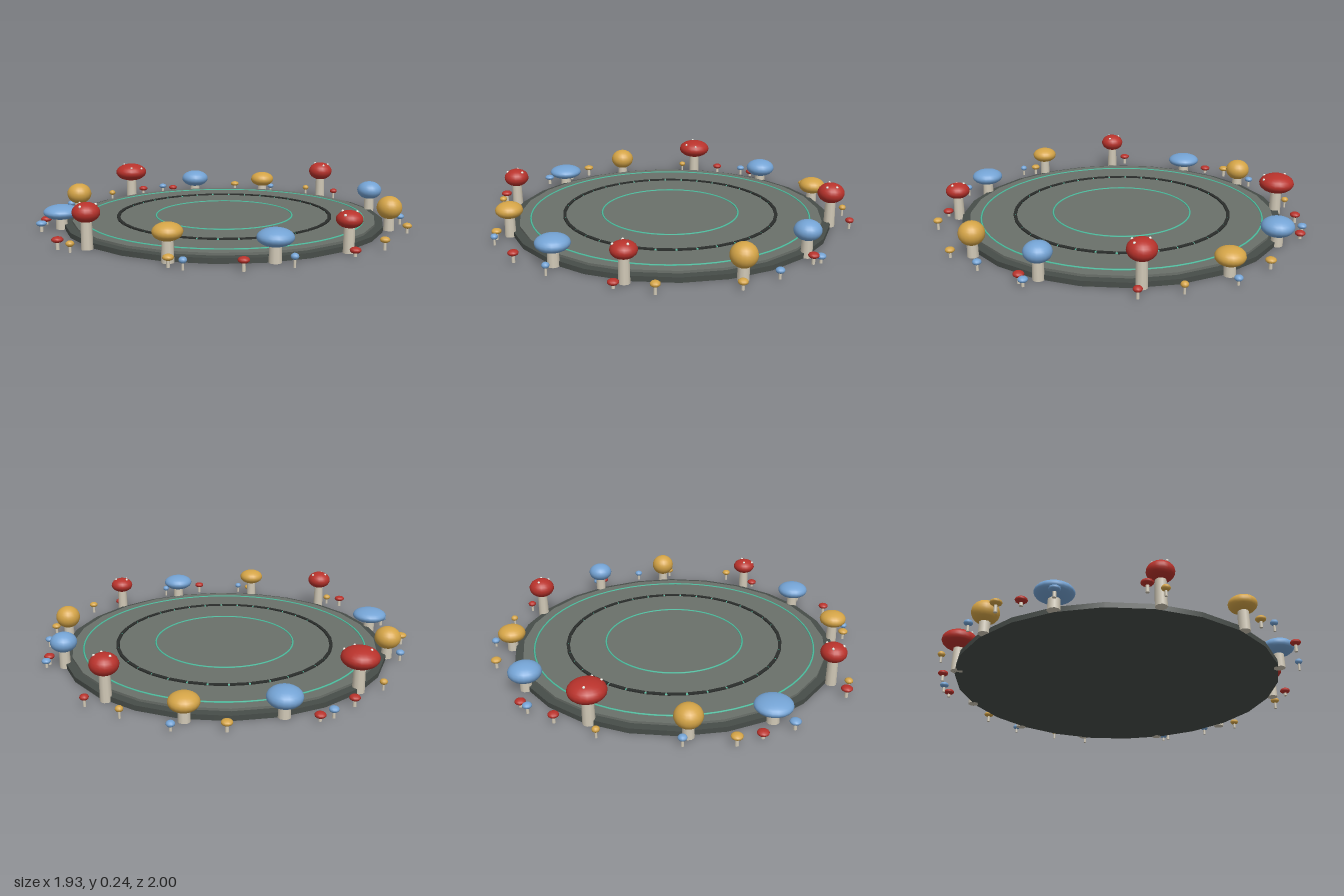
import * as THREE from 'three';

const mat = (name, color, flatShading = false) => {
  const m = new THREE.MeshStandardMaterial({ color, flatShading });
  m.name = name;
  return m;
};

export function createModel() {
  const model = new THREE.Group();
  model.name = 'mushroomRing';
  const M = {
    red: mat('capRed', 0xb8322b),
    blue: mat('capBlue', 0x74a3d4),
    gold: mat('capGold', 0xd4a447),
    stem: mat('stemCream', 0xd0c8b6),
    spot: mat('spotWhite', 0xf2efe6),
    stone: mat('stoneGrey', 0x6a706a),
    rim: mat('rimGrey', 0x474d49),
    dark: mat('darkStone', 0x2b2e2c),
    teal: mat('tealGlow', 0x4fbd9f),
  };
  const add = (parent, name, geo, material, x = 0, y = 0, z = 0) => {
    const mesh = new THREE.Mesh(geo, material);
    mesh.name = name;
    mesh.position.set(x, y, z);
    parent.add(mesh);
    return mesh;
  };

  // Round stone platform: dark-grey base with a lighter slab on top
  const platform = new THREE.Group();
  platform.name = 'platform';
  platform.position.set(-0.022, 0, -0.02);
  model.add(platform);
  add(platform, 'base', new THREE.CylinderGeometry(0.858, 0.858, 0.026, 24), M.rim, 0, 0.013, 0);
  add(platform, 'topSlab', new THREE.CylinderGeometry(0.815, 0.815, 0.018, 24), M.stone, 0, 0.029, 0);

  // Thin inlaid rings
  for (const r of [0.37, 0.572, 0.752]) {
    const ring = add(platform, 'tealRing', new THREE.TorusGeometry(r, 0.005, 6, 64), M.teal, 0, 0.038, 0);
    ring.rotation.x = Math.PI / 2;
  }

  // Dark segments laid around the middle ring
  const segments = 36;
  const segmentGeo = new THREE.BoxGeometry(0.09, 0.01, 0.017);
  for (let i = 0; i < segments; i++) {
    const a = (i / segments) * Math.PI * 2;
    const s = add(platform, 'ringSegment', segmentGeo, M.dark,
      0.572 * Math.sin(a), 0.04, 0.572 * Math.cos(a));
    s.rotation.y = a;
  }

  // Mushroom: stem plus flattened round cap; red ones carry white spots
  const capGeo = new THREE.SphereGeometry(1, 20, 14);
  const smallCapGeo = new THREE.SphereGeometry(1, 12, 8);
  const spotGeo = new THREE.SphereGeometry(0.007, 8, 6);
  const mushroom = (name, color, x, z, r, capY, half, stemR, spots) => {
    const g = new THREE.Group();
    g.name = name;
    g.position.set(x, 0, z);
    model.add(g);
    add(g, 'stem', new THREE.CylinderGeometry(stemR * 0.9, stemR, capY, 10), M.stem, 0, capY / 2, 0);
    const cap = add(g, 'cap', r > 0.05 ? capGeo : smallCapGeo, M[color], 0, capY, 0);
    cap.scale.set(r, half, r);
    for (const [sx, sz] of spots) {
      const sy = Math.sqrt(1 - sx * sx - sz * sz);
      add(g, 'spot', spotGeo, M.spot, sx * r, capY + sy * half, sz * r);
    }
  };

  // Large mushrooms: colour, x, z, cap radius, cap height, cap half-thickness, spots
  const large = [
    ['red', -0.868, 0, 0.093, 0.176, 0.052, [[0.82, -0.25], [0.65, 0.42], [-0.5, 0.2]]],
    ['red', -0.069, -0.873, 0.07, 0.184, 0.053, [[-0.5, 0.15], [0.6, 0.3], [0.5, -0.4]]],
    ['red', 0.857, 0, 0.063, 0.158, 0.041, [[-0.5, 0.2], [0.2, 0.75], [0.35, -0.4]]],
    ['red', -0.003, 0.862, 0.066, 0.177, 0.048, [[0.25, -0.65], [0.3, 0.65], [-0.6, 0.1]]],
    ['blue', -0.772, -0.439, 0.084, 0.1, 0.05, []],
    ['blue', 0.386, -0.772, 0.068, 0.136, 0.05, []],
    ['blue', 0.746, 0.37, 0.085, 0.115, 0.042, []],
    ['blue', -0.455, 0.735, 0.093, 0.09, 0.038, []],
    ['gold', -0.476, -0.767, 0.073, 0.095, 0.045, []],
    ['gold', 0.714, -0.508, 0.065, 0.12, 0.06, []],
    ['gold', 0.429, 0.72, 0.07, 0.14, 0.042, []],
    ['gold', -0.746, 0.45, 0.068, 0.112, 0.058, []],
  ];
  for (const [c, x, z, r, y, h, spots] of large) {
    mushroom('largeMushroom', c, x, z, r, y, h, 0.022 + r * 0.1, spots);
  }

  // Small mushrooms: x, z, cap radius, cap height
  const small = {
    red: [[-0.045, -0.977, 0.022, 0.047], [0.471, -0.807, 0.027, 0.045], [-0.91, -0.362, 0.027, 0.03],
      [-0.942, -0.143, 0.027, 0.045], [0.921, 0.032, 0.027, 0.03], [0.751, 0.566, 0.027, 0.05],
      [-0.598, 0.746, 0.029, 0.03], [-0.09, 0.968, 0.029, 0.048]],
    gold: [[-0.249, -0.942, 0.019, 0.047], [-0.677, -0.709, 0.027, 0.045], [0.82, -0.519, 0.024, 0.04],
      [0.942, -0.16, 0.024, 0.05], [-0.947, 0.093, 0.019, 0.045], [-0.704, 0.667, 0.029, 0.05],
      [-0.005, 0.952, 0.021, 0.042], [0.492, 0.767, 0.026, 0.045]],
    blue: [[-0.497, -0.868, 0.021, 0.035], [-0.937, -0.298, 0.024, 0.043], [0.45, -0.841, 0.024, 0.035],
      [0.672, -0.667, 0.022, 0.043], [0.857, 0.365, 0.019, 0.05], [-0.82, 0.46, 0.022, 0.045],
      [-0.466, 0.847, 0.028, 0.043], [0.566, 0.746, 0.019, 0.045]],
  };
  for (const [c, list] of Object.entries(small)) {
    for (const [x, z, r, y] of list) mushroom('smallMushroom', c, x, z, r, y, 0.015, r * 0.32, []);
  }
  return model;
}
